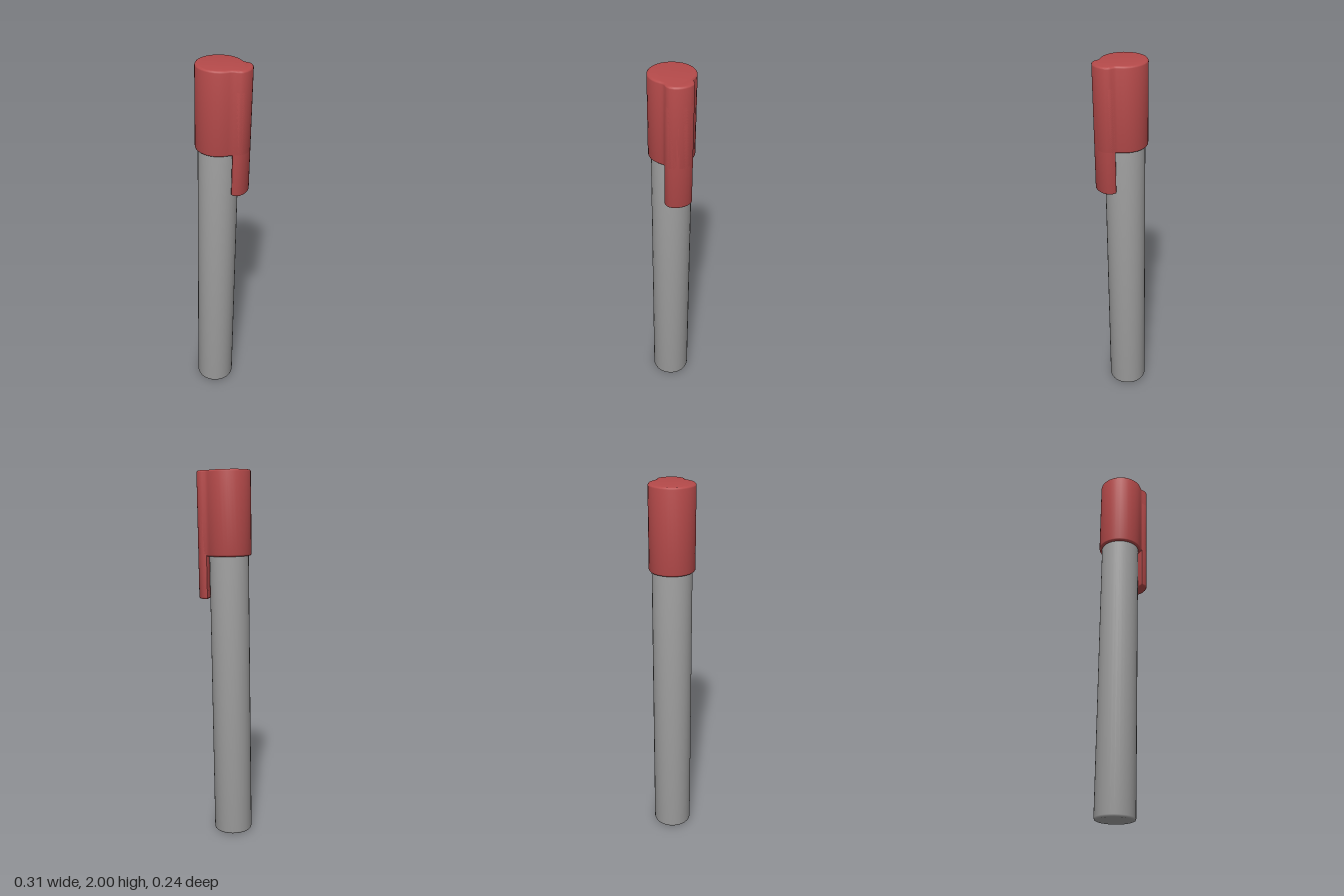
import * as THREE from 'three';
import { toCreasedNormals } from 'three/addons/utils/BufferGeometryUtils.js';

const red = new THREE.MeshStandardMaterial({ name: 'cap red', color: 0xb54a4a });
const grey = new THREE.MeshStandardMaterial({ name: 'barrel grey', color: 0xa3a3a3 });

// Vertical prism with rounded rims; half outline [x, z] is mirrored across z = 0
function roundedPrism(half, y0, y1, bevel) {
  const mirrored = half.filter(p => p[1] > 0).reverse().map(([x, z]) => [x, -z]);
  const outline = [...half, ...mirrored].map(([x, z]) => new THREE.Vector2(x, z));
  const geo = new THREE.ExtrudeGeometry(new THREE.Shape(outline), {
    depth: y1 - y0 - 2 * bevel, bevelEnabled: true, bevelThickness: bevel,
    bevelSize: bevel, bevelOffset: -bevel, bevelSegments: 3,
  });
  geo.rotateX(-Math.PI / 2).translate(0, y0 + bevel, 0);
  return toCreasedNormals(geo, 0.75);
}

function addPart(group, name, geometry, material) {
  const mesh = new THREE.Mesh(geometry, material);
  mesh.name = name;
  group.add(mesh);
}

export function createModel() {
  const model = new THREE.Group();
  model.name = 'markerPen';
  const pen = new THREE.Group();
  pen.name = 'tiltedPen';
  model.add(pen);

  // Barrel with a softened foot
  const R = 0.105;
  const profile = [[0, 0], [R - 0.01, 0], [R - 0.003, 0.003], [R, 0.012], [R, 1.6], [0, 1.6]]
    .map(([x, y]) => new THREE.Vector2(x, y));
  addPart(pen, 'barrel', toCreasedNormals(new THREE.LatheGeometry(profile, 32), 0.9), grey);

  // Outer edge of the clip, shared by cap and clip
  const clipEdge = [[0.167, 0], [0.165, 0.02], [0.159, 0.04], [0.148, 0.058], [0.136, 0.067], [0.122, 0.071]];

  // Cap: round body flowing into the clip through small fillets
  const capHalf = [...clipEdge, [0.106, 0.071], [0.095, 0.076]];
  for (let i = 0; i <= 12; i++) {
    const a = 0.78 + (Math.PI - 0.78) * i / 12;
    capHalf.push([0.12 * Math.cos(a), i === 12 ? 0 : 0.12 * Math.sin(a)]);
  }
  addPart(pen, 'cap', roundedPrism(capHalf, 1.553, 1.996, 0.01), red);

  // Clip hanging below the cap along the barrel
  const clipHalf = [...clipEdge, [0.106, 0.071], [0.102, 0.066], [0.102, 0]];
  addPart(pen, 'clip', roundedPrism(clipHalf, 1.326, 1.9, 0.01), red);

  // The pen leans by one degree
  pen.rotation.z = -0.0175;
  pen.position.set(-0.048, 0.002, 0);
  return model;
}
